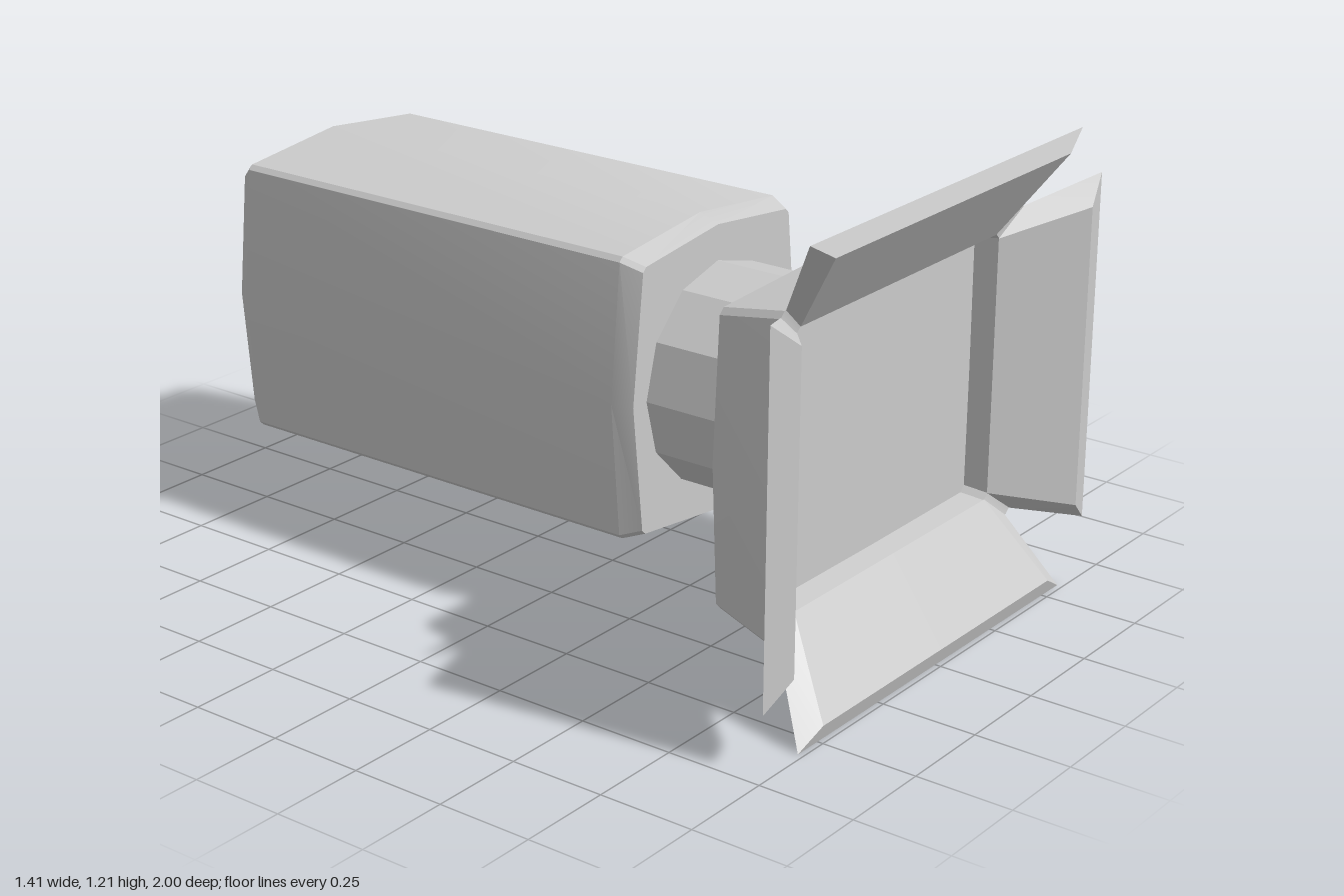
import * as THREE from 'three';
import { toCreasedNormals } from 'three/addons/utils/BufferGeometryUtils.js';

const CENTRE_Y = 0.605;

// Skin a list of equal-length closed cross-sections, closing both ends
function loft(rings) {
  const n = rings[0].length;
  const pos = rings.flat(2);
  const idx = [];
  for (let r = 0; r < rings.length - 1; r++) {
    for (let i = 0; i < n; i++) {
      const j = (i + 1) % n;
      const a = r * n + i, b = r * n + j, c = b + n, d = a + n;
      idx.push(a, b, c, a, c, d);
    }
  }
  const last = (rings.length - 1) * n;
  for (let i = 1; i < n - 1; i++) {
    idx.push(0, i + 1, i, last, last + i, last + i + 1);
  }
  const geo = new THREE.BufferGeometry();
  geo.setAttribute('position', new THREE.Float32BufferAttribute(pos, 3));
  geo.setIndex(idx);
  return toCreasedNormals(geo, 0.35);
}

// Bulged rectangle: side middles at mx / my, corners at cx / cy cut by b
function bulgedRect(z, mx, my, cx, cy, b) {
  return [
    [mx, 0], [cx, cy - b], [cx - b, cy], [0, my], [b - cx, cy], [-cx, cy - b],
    [-mx, 0], [-cx, b - cy], [b - cx, -cy], [0, -my], [cx - b, -cy], [cx, b - cy],
  ].map(([x, y]) => [x, y, z]);
}

function circle(z, r) {
  return Array.from({ length: 12 }, (_, i) => {
    const a = (i * Math.PI) / 6;
    return [r * Math.cos(a), r * Math.sin(a), z];
  });
}

// Thick flaring plate; each profile point is [half width, height, z],
// ordered outer base, outer tip, inner tip, inner base
function flapGeometry(profile, baseBulge) {
  return loft([-1, 0, 1].map((s) =>
    profile.map(([w, h, z], i) => [s * w, h + (i === 0 && s === 0 ? baseBulge : 0), z])));
}

export function createModel() {
  const group = new THREE.Group();
  const material = new THREE.MeshStandardMaterial({ color: 0xcccccc });

  const add = (name, geo, turn = 0) => {
    const mesh = new THREE.Mesh(geo, material);
    mesh.name = name;
    mesh.position.y = CENTRE_Y;
    mesh.rotation.z = turn;
    group.add(mesh);
  };

  // Long housing with bevelled ends
  add('housing', loft([
    bulgedRect(-1.0, 0.31, 0.355, 0.28, 0.325, 0.012),
    bulgedRect(-0.945, 0.35, 0.395, 0.318, 0.362, 0.012),
    bulgedRect(0.27, 0.35, 0.395, 0.318, 0.362, 0.012),
    bulgedRect(0.325, 0.335, 0.375, 0.298, 0.342, 0.012),
  ]));

  // Round neck between housing and hood
  add('neck', loft([circle(0.3, 0.283), circle(0.63, 0.283)]));

  // Flared hood, turning inwards at the rim to a recessed front panel
  add('hood', loft([
    circle(0.62, 0.283),
    bulgedRect(0.68, 0.5, 0.392, 0.48, 0.37, 0.015),
    bulgedRect(0.87, 0.55, 0.432, 0.515, 0.412, 0.015),
    bulgedRect(0.855, 0.432, 0.352, 0.43, 0.35, 0.015),
    bulgedRect(0.79, 0.425, 0.345, 0.423, 0.343, 0.015),
  ]));

  // Four flaps around the rim
  const wideFlap = flapGeometry(
    [[0.495, 0.412, 0.87], [0.578, 0.605, 0.985], [0.5, 0.56, 1.0], [0.415, 0.348, 0.855]], 0.02);
  const tallFlap = flapGeometry(
    [[0.4, 0.515, 0.87], [0.46, 0.705, 0.975], [0.395, 0.622, 1.0], [0.335, 0.428, 0.855]], 0.035);
  add('topFlap', wideFlap);
  add('bottomFlap', wideFlap, Math.PI);
  add('leftFlap', tallFlap, -Math.PI / 2);
  add('rightFlap', tallFlap, Math.PI / 2);

  return group;
}
